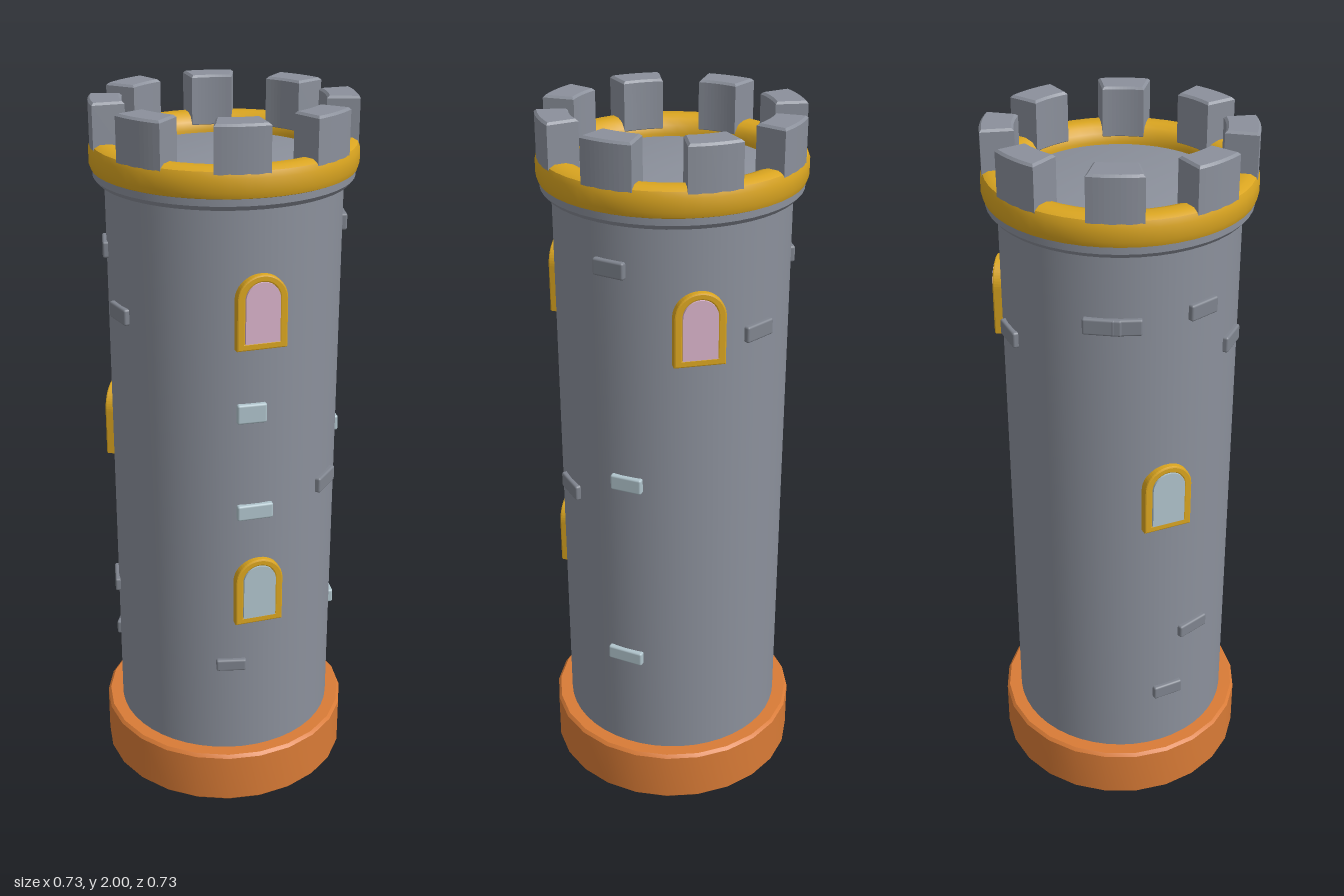
import * as THREE from 'three';
import { toCreasedNormals } from 'three/addons/utils/BufferGeometryUtils.js';
import { RoundedBoxGeometry } from 'three/addons/geometries/RoundedBoxGeometry.js';

const material = (name, color) => {
  const m = new THREE.MeshStandardMaterial({ color });
  m.name = name;
  return m;
};

export function createModel() {
  const stone = material('stone grey', 0x8b909b);
  const darkStone = material('dark stone', 0x7f848e);
  const paleBlue = material('pale blue', 0xb0c4cc);
  const gold = material('gold', 0xdaa520);
  const orange = material('orange', 0xd97b36);
  const pink = material('pink', 0xd8b2c9);

  const model = new THREE.Group();
  model.name = 'tower';

  const add = (parent, name, geometry, mat) => {
    const mesh = new THREE.Mesh(geometry, mat);
    mesh.name = name;
    parent.add(mesh);
    return mesh;
  };
  // Turned part from [radius, height] pairs, listed bottom to top on the outside
  const lathe = (name, points, sides, mat) => {
    const g = new THREE.LatheGeometry(points.map(([r, y]) => new THREE.Vector2(r, y)), sides);
    return add(model, name, toCreasedNormals(g, 0.7), mat);
  };
  // Group turned around the axis: 0 degrees is the front, 90 the left (+x)
  const around = (name, degrees, y = 0) => {
    const group = new THREE.Group();
    group.name = name;
    group.rotation.y = THREE.MathUtils.degToRad(degrees);
    group.position.y = y;
    model.add(group);
    return group;
  };

  // Plinth, wall with flared collar and roof floor, rounded rim
  lathe('base', [[0, 0], [0.354, 0], [0.363, 0.009], [0.363, 0.153], [0.355, 0.162], [0.3, 0.162]], 24, orange);
  lathe('wall', [[0.317, 0.1], [0.317, 1.785], [0.336, 1.787], [0.347, 1.8], [0.347, 1.83], [0.3, 1.843], [0, 1.843]], 48, stone);
  lathe('rim', [[0.34, 1.815], [0.351, 1.82], [0.356, 1.835], [0.356, 1.87], [0.35, 1.886], [0.335, 1.894],
    [0.305, 1.894], [0.283, 1.887], [0.27, 1.872], [0.265, 1.85], [0.265, 1.835]], 48, gold);

  // Battlements: curved blocks
  const bevel = 0.006;
  const blockShape = new THREE.Shape();
  const start = 0.02, end = THREE.MathUtils.degToRad(23.5) - 0.02;
  blockShape.absarc(0, 0, 0.352 - bevel, start, end, false);
  blockShape.absarc(0, 0, 0.266 + bevel, end, start, true);
  const blockGeometry = new THREE.ExtrudeGeometry(blockShape, {
    depth: 0.128, bevelThickness: bevel, bevelSize: bevel, bevelSegments: 1, curveSegments: 5,
  });
  blockGeometry.rotateX(-Math.PI / 2);
  blockGeometry.rotateY(-Math.PI / 2); // first edge points to +z
  blockGeometry.translate(0, 1.866, 0);
  for (let i = 0; i < 8; i++) {
    add(around('battlement', i * 45 + 23.5), 'battlementBlock', blockGeometry, stone);
  }

  // Arched windows
  const arch = (Type, halfWidth, bottom, top) => {
    const s = new Type();
    s.moveTo(-halfWidth, bottom);
    s.lineTo(halfWidth, bottom);
    s.lineTo(halfWidth, top - halfWidth);
    s.absarc(0, top - halfWidth, halfWidth, 0, Math.PI, false);
    s.closePath();
    return s;
  };
  const frameShape = arch(THREE.Shape, 0.064, -0.096, 0.096);
  frameShape.holes.push(arch(THREE.Path, 0.05, -0.083, 0.085));
  const frameGeometry = new THREE.ExtrudeGeometry(frameShape, {
    depth: 0.034, bevelThickness: 0.004, bevelSize: 0.004, bevelSegments: 2, curveSegments: 14,
  });
  const paneGeometry = new THREE.ExtrudeGeometry(arch(THREE.Shape, 0.046, -0.08, 0.082), {
    depth: 0.008, bevelEnabled: false, curveSegments: 14,
  });
  // [degrees, height, pane]
  const windows = [[0, 1.518, pink], [120, 1.518, pink], [0, 0.698, paleBlue], [240, 1.068, paleBlue]];
  for (const [degrees, y, pane] of windows) {
    const group = around('window', degrees, y);
    add(group, 'windowFrame', frameGeometry, gold).position.z = 0.296;
    add(group, 'windowPane', paneGeometry, pane).position.z = 0.33;
  }

  // Loose bricks standing out of the wall: [degrees, height, width, brick height, colour]
  const bricks = [
    [-4, 1.237, 0.08, 0.055, paleBlue], [-2, 0.945, 0.1, 0.045, paleBlue],
    [85, 1.055, 0.09, 0.045, paleBlue], [83, 0.482, 0.105, 0.042, paleBlue],
    [45, 0.963, 0.1, 0.045, darkStone], [-13.5, 0.455, 0.085, 0.036, darkStone],
    [78, 1.665, 0.09, 0.046, darkStone], [152, 1.477, 0.095, 0.045, darkStone],
    [209, 1.592, 0.1, 0.045, darkStone], [220, 1.592, 0.08, 0.045, darkStone],
    [258, 1.605, 0.09, 0.045, darkStone], [283, 1.46, 0.09, 0.045, darkStone],
    [258, 0.572, 0.1, 0.04, darkStone], [243, 0.365, 0.09, 0.042, darkStone],
  ];
  for (const [degrees, y, w, h, mat] of bricks) {
    const geometry = new RoundedBoxGeometry(w, h, 0.036, 2, 0.006);
    add(around('brick', degrees, y), 'brickBlock', geometry, mat).position.z = 0.31;
  }

  return model;
}
